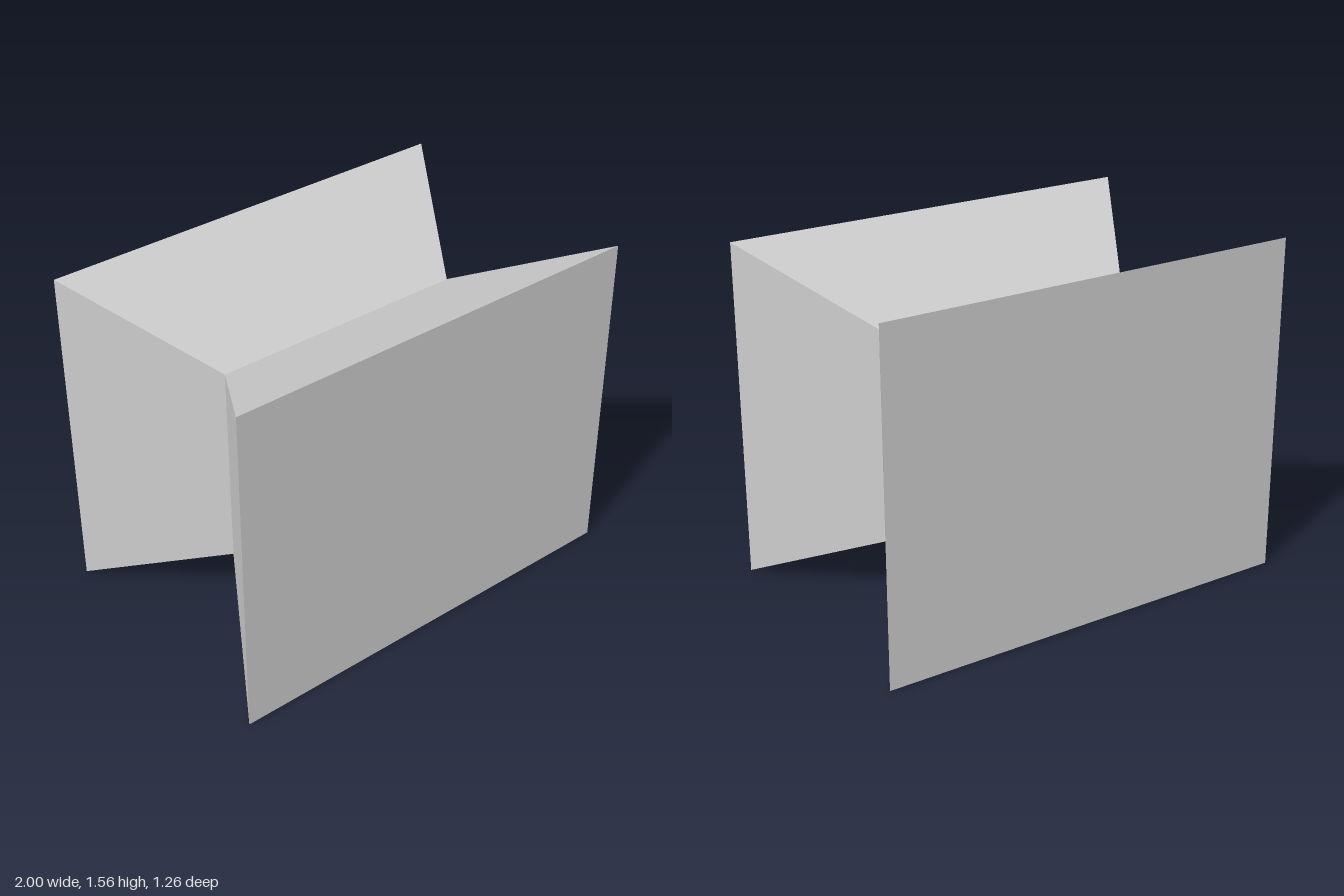
import * as THREE from 'three';

const WIDTH = 2, HEIGHT = 1.556, DEPTH = 1.26;
const WAIST = 0.608; // size of the middle section relative to the end faces

export function createModel() {
  const group = new THREE.Group();
  group.name = 'waistedBlock';

  // Block with a middle ring of vertices, pinched in towards the z axis
  const box = new THREE.BoxGeometry(WIDTH, HEIGHT, DEPTH, 1, 1, 2);
  const pos = box.attributes.position;
  for (let i = 0; i < pos.count; i++) {
    if (Math.abs(pos.getZ(i)) < 0.01) {
      pos.setXY(i, pos.getX(i) * WAIST, pos.getY(i) * WAIST);
    }
  }

  // Separate the faces so every edge stays sharp
  const geometry = box.toNonIndexed();
  geometry.computeVertexNormals();

  const body = new THREE.Mesh(
    geometry,
    new THREE.MeshStandardMaterial({ color: 0xcccccc, flatShading: true })
  );
  body.name = 'body';
  body.position.y = HEIGHT / 2;
  group.add(body);
  return group;
}
